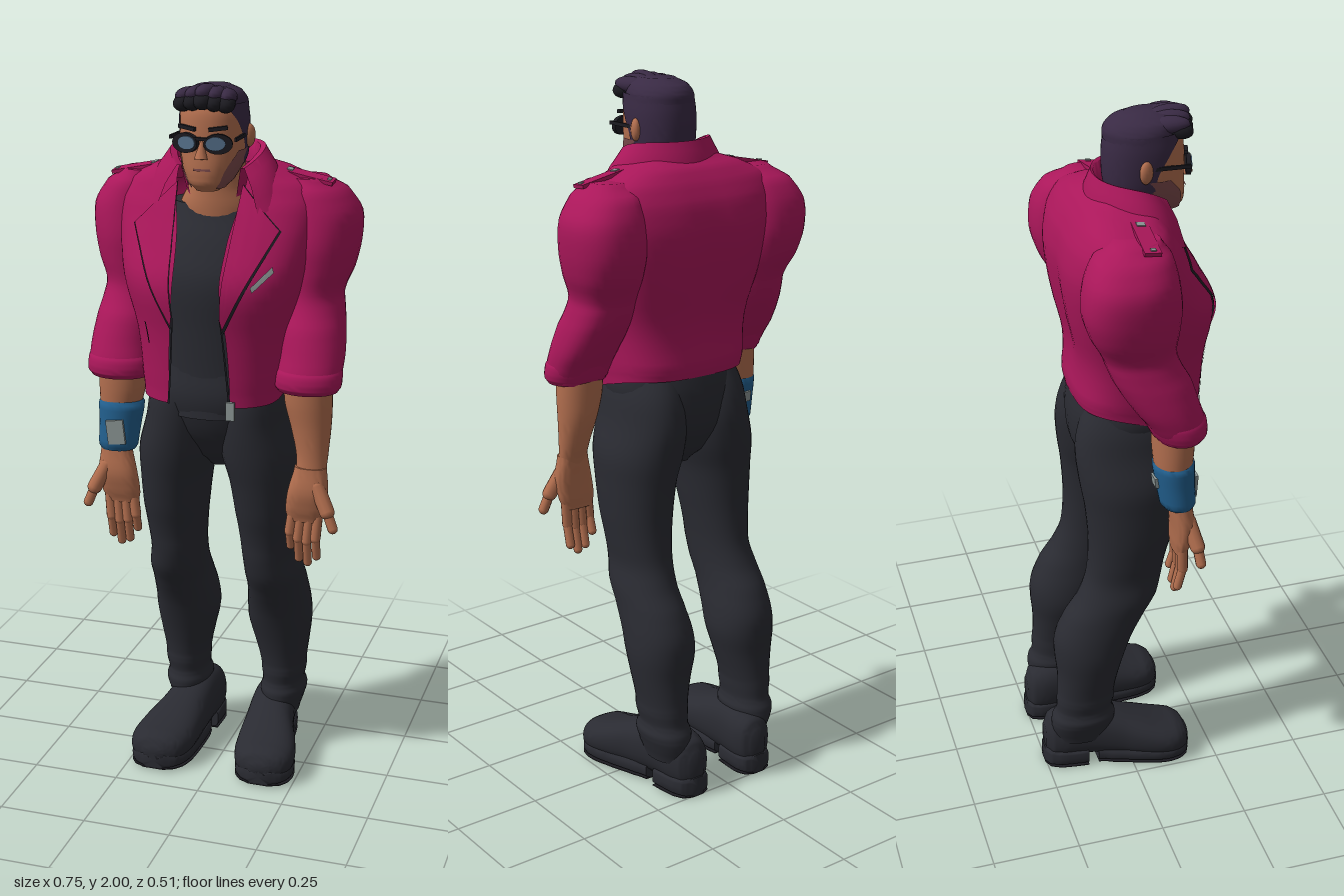
import * as THREE from 'three';
import { toCreasedNormals } from 'three/addons/utils/BufferGeometryUtils.js';

const mat = (name, color, side = THREE.FrontSide) => {
  const m = new THREE.MeshStandardMaterial({ color, side });
  m.name = name;
  return m;
};

export function createModel() {
  const root = new THREE.Group();
  root.name = 'standingMan';
  const D = THREE.DoubleSide;
  const jacketMat = mat('magentaLeather', 0xaa175a, D);
  const cloth = mat('charcoalCloth', 0x2a2b32, D);
  const black = mat('black', 0x1c1b21, D);
  const skin = mat('skin', 0xb36f4f);
  const hairMat = mat('purpleHair', 0x392a44, D);
  const stubbleMat = mat('stubble', 0x7d4b4c, D);
  const blue = mat('blueBand', 0x22608f);
  const metal = mat('greyMetal', 0x8c9695, D);
  const lensMat = mat('blueGreyLens', 0x56718c, D);

  const add = (name, geo, material, pos = [0, 0, 0], rot = [0, 0, 0], scale = [1, 1, 1]) => {
    const m = new THREE.Mesh(geo, material);
    m.name = name;
    m.position.set(...pos);
    m.rotation.set(...rot);
    m.scale.set(...scale);
    root.add(m);
    return m;
  };

  // Surface from a rule fn(u, v) -> [x, y, z]
  function grid(fn, nu, nv) {
    const p = [], idx = [];
    for (let j = 0; j <= nv; j++) for (let i = 0; i <= nu; i++) p.push(...fn(i / nu, j / nv, j));
    for (let j = 0; j < nv; j++) for (let i = 0; i < nu; i++) {
      const a = j * (nu + 1) + i, b = a + 1, c = a + nu + 1, d = c + 1;
      idx.push(a, b, c, b, d, c);
    }
    const g = new THREE.BufferGeometry();
    g.setAttribute('position', new THREE.Float32BufferAttribute(p, 3));
    g.setIndex(idx);
    return toCreasedNormals(g, 1.0);
  }

  // Cross-section at height y; rows are [y, cx, cz, rx, rz, gap], ascending
  function sample(rows, y) {
    let i = 0;
    while (i < rows.length - 2 && y > rows[i + 1][0]) i++;
    const at = k => rows[Math.min(Math.max(k, 0), rows.length - 1)];
    const [a, b, c, d] = [at(i - 1), at(i), at(i + 1), at(i + 2)];
    const t = THREE.MathUtils.clamp((y - b[0]) / (c[0] - b[0]), 0, 1);
    return b.map((_, k) => k === 0 ? y : b[k] + 0.5 * t * (c[k] - a[k] +
      t * (2 * a[k] - 5 * b[k] + 4 * c[k] - d[k] + t * (3 * (b[k] - c[k]) + d[k] - a[k]))));
  }
  const pw = (v, e) => Math.sign(v) * Math.pow(Math.abs(v), e);

  // Stacked superellipses (exponent n, back half nb); a gap leaves the front open, otherwise the ends are capped
  function loft(rows, { s = 1, n = 2, nb = n, seg = 32, sub = 4 } = {}) {
    const open = rows[0].length > 5, nv = (rows.length - 1) * sub + (open ? 0 : 2);
    return grid((u, v, j) => {
      const k = open ? j : Math.min(Math.max(j - 1, 0), nv - 2);
      const r = Math.min(Math.floor(k / sub), rows.length - 2);
      const y = THREE.MathUtils.lerp(rows[r][0], rows[r + 1][0], k / sub - r);
      const [, cx, cz, rx, rz, gap = 0] = sample(rows, y);
      const cap = !open && (j === 0 || j === nv) ? 0 : 1;
      const t0 = open ? Math.asin(Math.min(1, Math.pow(gap / rx, n / 2))) : 0;
      const t = t0 + u * (2 * Math.PI - 2 * t0), e = 2 / (Math.cos(t) < 0 ? nb : n);
      return [s * cx + cap * rx * pw(Math.sin(t), e), y, cz + cap * rz * pw(Math.cos(t), e)];
    }, seg, nv);
  }

  // Thin plate laid on the front of a lofted body, from four [x, y] corners
  function frontPatch(rows, n, off, s, c) {
    const flip = s < 0 ? [c[1], c[0], c[3], c[2]] : c;
    return grid((u, v) => {
      const mix = k => (1 - v) * ((1 - u) * flip[0][k] + u * flip[1][k]) + v * ((1 - u) * flip[3][k] + u * flip[2][k]);
      const x = mix(0), y = mix(1), [, , cz, rx, rz] = sample(rows, y);
      const q = Math.min(Math.abs(x) / rx, 0.99);
      return [s * x, y, cz + rz * Math.pow(1 - Math.pow(q, n), 1 / n) + off];
    }, 8, 10);
  }
  function limb(name, a, b, r, material) {
    const A = new THREE.Vector3(...a), B = new THREE.Vector3(...b), d = B.clone().sub(A);
    const m = add(name, new THREE.CapsuleGeometry(r, d.length(), 5, 10), material, A.add(B).multiplyScalar(0.5).toArray());
    m.quaternion.setFromUnitVectors(new THREE.Vector3(0, 1, 0), d.normalize());
  }

  // Torso
  add('shirt', loft([[1.1, 0, .03, .18, .155], [1.2, 0, .03, .185, .15], [1.34, 0, .04, .18, .145],
    [1.48, 0, .03, .21, .16], [1.58, 0, .01, .2, .14], [1.67, 0, 0, .14, .1]]), cloth);
  add('neck', loft([[1.55, 0, 0, .1, .1], [1.66, 0, .005, .115, .108], [1.72, 0, .03, .083, .085],
    [1.82, 0, .05, .07, .07]]), skin);
  add('hips', loft([[.93, 0, .01, .03, .05], [.97, 0, .012, .07, .095], [1.05, 0, .018, .15, .142],
    [1.15, 0, .028, .192, .16], [1.25, 0, .03, .18, .145]], { n: 2.2 }), cloth);

  // Open jacket
  const J = [[1.15, 0, .05, .195, .175, .085], [1.2, 0, .048, .2, .178, .085], [1.34, 0, .055, .212, .18, .078],
    [1.48, 0, .048, .25, .202, .064], [1.6, 0, .012, .275, .178, .07], [1.68, 0, -.003, .28, .148, .085],
    [1.73, 0, -.005, .255, .12, .095], [1.765, 0, .002, .185, .098, .095], [1.79, 0, .02, .115, .078, .085]];
  const jn = 2.6;
  const jacketGeo = loft(J, { n: jn, nb: 3, seg: 64 });
  const jp = jacketGeo.attributes.position;
  for (let i = 0; i < jp.count; i++) { // the hem rises and a spine groove runs down the back
    const x = jp.getX(i), y = jp.getY(i), z = jp.getZ(i), back = THREE.MathUtils.smoothstep(-z, -.16, .1);
    jp.setY(i, y + Math.max(0, 1 - (y - 1.15) / .12) * .05 * back);
    if (z < 0) jp.setZ(i, z + .012 * Math.exp(-((x / .05) ** 2) - ((y - 1.5) / .17) ** 2));
  }
  add('jacketBody', toCreasedNormals(jacketGeo, 1), jacketMat);

  // Folded collar, dropping and spreading towards the front
  const prof = [[.165, .125, 1.715], [.145, .11, 1.785], [.12, .092, 1.832], [.108, .085, 1.828], [.092, .075, 1.745]];
  add('collar', grid((u, v) => {
    const t = .75 + u * (2 * Math.PI - 1.5), f = (1 + Math.cos(t)) / 2;
    const i = Math.min(Math.floor(v * 4), 3), k = v * 4 - i;
    const [rx, rz, y] = prof[i].map((a, m) => THREE.MathUtils.lerp(a, prof[i + 1][m], k));
    return [rx * (1 + .3 * f * (1 - v)) * Math.sin(t), y - .085 * f ** 3, .035 + rz * Math.cos(t) + .03 * f * (1 - v)];
  }, 40, 8), jacketMat);

  for (const s of [1, -1]) {
    const side = s > 0 ? 'left' : 'right';
    // Lapel with a dark seam, front edge and epaulette
    add(side + 'LapelSeam', frontPatch(J, jn, .004, s, [[.064, 1.388], [.074, 1.358], [.204, 1.622], [.09, 1.735]]), black);
    add(side + 'Lapel', frontPatch(J, jn, .009, s, [[.066, 1.4], [.072, 1.37], [.2, 1.625], [.09, 1.735]]), jacketMat);
    add(side + 'Zip', frontPatch(J, jn, .004, s, [[.083, 1.15], [.089, 1.15], [.068, 1.4], [.064, 1.4]]), black);
    add(side + 'Epaulette', new THREE.BoxGeometry(.14, .01, .045), jacketMat, [s * .24, 1.748, .012], [.1, 0, s * -.2]);
    for (const [x, y, w] of [[.19, 1.762, .016], [.297, 1.741, .01]])
      add(side + 'Stud', new THREE.BoxGeometry(w, .008, w * 1.4), metal, [s * x, y, .014], [.1, 0, s * -.2]);

    // Sleeve, rolled cuff and forearm
    add(side + 'Sleeve', loft([[1.19, .268, .098, .08, .066], [1.22, .268, .093, .088, .077], [1.28, .268, .063, .09, .09],
      [1.35, .26, .03, .09, .1], [1.4, .255, .005, .085, .098], [1.44, .253, -.008, .083, .1], [1.5, .262, -.022, .096, .118],
      [1.57, .267, -.03, .105, .13], [1.65, .268, -.032, .104, .122], [1.71, .252, -.024, .082, .1],
      [1.745, .235, -.008, .05, .06]], { s, nb: 2.5 }), jacketMat);
    add(side + 'Cuff', loft([[1.185, .268, .098, .082, .066], [1.2, .268, .098, .092, .076], [1.235, .268, .088, .092, .083],
      [1.255, .268, .078, .085, .08]], { s }), jacketMat);
    add(side + 'Forearm', loft([[.94, .282, .105, .042, .028], [1, .283, .094, .044, .037], [1.08, .276, .085, .056, .05],
      [1.15, .268, .085, .066, .057], [1.25, .265, .085, .066, .06]], { s }), skin);

    // Hand
    add(side + 'Palm', loft([[.81, .266, .105, .046, .016], [.84, .269, .108, .055, .023], [.9, .277, .112, .056, .031],
      [.97, .282, .104, .044, .031]], { s, n: 2.4 }), skin);
    [[.226, .72], [.25, .685], [.275, .675], [.3, .695]].forEach(([x, tip], i) => {
      const k = .233 + i * .024, mid = (tip + .83) / 2;
      limb(side + 'Finger', [s * k, .83, .107], [s * x, mid, .11], .0145, skin);
      limb(side + 'Fingertip', [s * x, mid, .11], [s * x, tip + .01, .096], .0125, skin);
    });
    limb(side + 'ThumbBase', [s * .305, .92, .122], [s * .338, .855, .138], .021, skin);
    limb(side + 'ThumbTip', [s * .338, .855, .138], [s * .356, .81, .143], .0145, skin);

    // Trouser leg, with wrinkles above the boot
    add(side + 'Leg', loft([[.1, .13, -.14, .062, .085], [.155, .146, -.14, .062, .094], [.185, .148, -.138, .067, .094],
      [.21, .148, -.136, .06, .084], [.25, .15, -.132, .065, .086], [.28, .149, -.13, .067, .085], [.35, .146, -.122, .08, .092],
      [.42, .142, -.114, .092, .106], [.48, .142, -.1, .09, .116], [.55, .144, -.067, .083, .12], [.6, .143, -.035, .081, .117],
      [.66, .137, -.014, .077, .112], [.72, .137, -.004, .082, .112], [.8, .136, .008, .091, .122], [.9, .131, .015, .1, .136],
      [.98, .12, .017, .111, .15], [1.07, .106, .018, .101, .158], [1.15, .1, .024, .092, .15],
      [1.24, .09, .03, .07, .12]], { s, n: 2.1 }), cloth);

    // Boot, lofted from heel to toe, with a dark tread below
    const R = [Math.PI / 2, 0, 0];
    add(side + 'Boot', loft([[-.25, .112, -.09, .025, .045], [-.235, .113, -.095, .047, .07], [-.2, .115, -.1, .06, .08],
      [-.12, .122, -.105, .066, .084], [-.03, .134, -.09, .074, .074], [.04, .147, -.077, .086, .062], [.1, .156, -.067, .09, .053],
      [.14, .159, -.063, .081, .048], [.165, .16, -.059, .06, .038], [.177, .16, -.057, .03, .02]], { s, n: 2.4 }), cloth, [0, 0, 0], R);
    const heel = [[-.254, .112, .022], [-.243, .113, .044], [-.21, .115, .058], [-.13, .121, .062]];
    const sole = [[-.1, .126, .058], [-.06, .13, .068], [.04, .147, .084], [.1, .156, .088], [.14, .159, .079],
      [.165, .16, .06], [.177, .16, .035]];
    const slab = (name, rows, low, high, material) => add(side + name,
      loft(rows.map(([z, x, w]) => [z, x, -(low + high) / 2, w, (high - low) / 2]), { s, n: 5 }), material, [0, 0, 0], R);
    slab('Heel', heel, .004, .06, cloth);
    slab('HeelTread', heel, .001, .005, black);
    slab('Sole', sole, .011, .055, cloth);
    slab('Tread', sole, .007, .012, black);

    // Ears and glasses
    add(side + 'Ear', new THREE.SphereGeometry(.022, 14, 10), skin, [s * .09, 1.855, .06], [0, s * -.4, 0], [.6, 1.4, .9]);
    add(side + 'GlassesRim', new THREE.CylinderGeometry(.036, .036, .012, 24), black, [s * .044, 1.848, .186], [Math.PI / 2, 0, s * -.25], [1.05, 1, .72]);
    add(side + 'Lens', new THREE.CylinderGeometry(.026, .026, .006, 24), lensMat, [s * .039, 1.849, .194], [Math.PI / 2, 0, s * -.25], [1, 1, .68]);
    add(side + 'GlassesArm', new THREE.BoxGeometry(.006, .01, .12), black, [s * .087, 1.86, .12], [0, s * .03, 0]);
    add(side + 'Brow', new THREE.BoxGeometry(.05, .01, .01), black, [s * .042, 1.886, .18], [0, s * .3, s * .12]);
  }

  // Zip pull, slanted chest zip and hip zip
  add('zipPull', new THREE.BoxGeometry(.024, .05, .01), metal, [.09, 1.145, .226]);
  add('chestZip', frontPatch(J, jn, .006, 1, [[.145, 1.487], [.15, 1.474], [.198, 1.523], [.193, 1.538]]), metal);
  add('hipZip', frontPatch(J, jn, .004, -1, [[.142, 1.31], [.146, 1.31], [.155, 1.37], [.151, 1.37]]), black);

  // Wristband
  add('wristband', loft([[.968, .279, .098, .05, .043], [.978, .279, .097, .056, .049], [1.04, .275, .09, .06, .053],
    [1.1, .271, .086, .065, .057], [1.11, .271, .086, .058, .052]], { s: -1 }), blue);
  add('wristPlate', new THREE.BoxGeometry(.05, .07, .009), metal, [-.27, 1.025, .143], [.02, .05, .1]);
  add('wristBuckle', new THREE.BoxGeometry(.036, .03, .009), metal, [-.275, 1.05, .034], [-.12, 0, 0]);

  // Head
  const H = [[1.72, 0, .135, .03, .034], [1.74, 0, .122, .053, .063], [1.78, 0, .098, .074, .09],
    [1.83, 0, .084, .085, .1], [1.88, 0, .083, .086, .101], [1.93, 0, .08, .083, .098], [1.975, 0, .08, .055, .07]];
  add('head', loft(H, { n: 2.2 }), skin);
  add('nose', new THREE.ConeGeometry(.018, .058, 10), skin, [0, 1.836, .19], [-.2, 0, 0]);
  add('mouth', frontPatch(H, 2.2, .003, 1, [[-.024, 1.776], [.024, 1.776], [.022, 1.782], [-.022, 1.782]]), stubbleMat);
  add('jawStubble', loft([[1.728, 0, .13, .046, .05, .032], [1.745, 0, .118, .062, .065, .043], [1.78, 0, .096, .078, .093, .058],
    [1.825, 0, .083, .088, .102, .081]], { n: 2.2 }), stubbleMat);
  add('glassesBridge', new THREE.BoxGeometry(.03, .008, .01), black, [0, 1.86, .194]);

  // Hair: cropped back and sides, crown and swept quiff
  add('hairBack', loft([[1.765, 0, .075, .068, .083, .066], [1.8, 0, .072, .084, .098, .083], [1.85, 0, .072, .089, .103, .087],
    [1.9, 0, .076, .09, .106, .08], [1.945, 0, .08, .086, .104, .06]], { n: 2.2 }), hairMat);
  add('hairCrown', loft([[1.925, 0, .068, .087, .097], [1.95, 0, .074, .084, .102], [1.972, 0, .084, .07, .094],
    [1.986, 0, .09, .045, .065]]), hairMat);
  for (let i = 0; i < 5; i++) {
    const x = (i - 2) * .028, e = Math.abs(i - 2);
    add('quiffLock', new THREE.SphereGeometry(.03, 14, 10), black, [x, 1.956 - e * .004, .174 - e * .008], [.2, x * 6, 0], [.85, .78, 1.2]);
    add('hairLock', new THREE.SphereGeometry(.03, 14, 10), hairMat, [x * .9, 1.974 - e * .006, .145 - e * .008], [-.06, x * 5, 0], [.9, .75, 1.9]);
  }
  return root;
}
